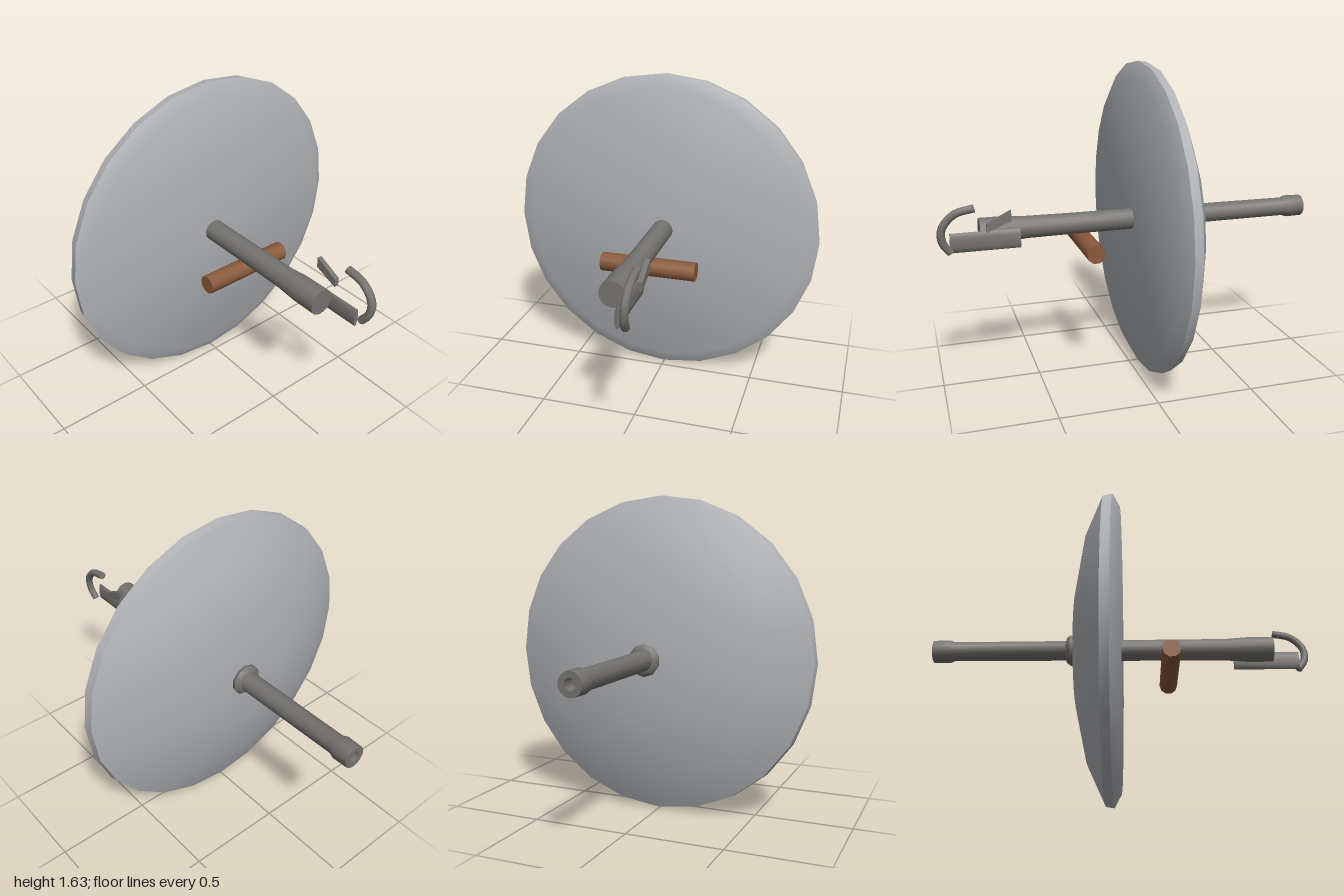
import * as THREE from 'three';
import { toCreasedNormals } from 'three/addons/utils/BufferGeometryUtils.js';

const AXIS_Y = 0.817;

export function createModel() {
  const model = new THREE.Group();
  const shieldGrey = new THREE.MeshStandardMaterial({ color: 0xb0b2b6 });
  const darkGrey = new THREE.MeshStandardMaterial({ color: 0x75736f });
  const brown = new THREE.MeshStandardMaterial({ color: 0x8a5a3c });

  function add(name, geometry, material, crease = 0.7) {
    const mesh = new THREE.Mesh(toCreasedNormals(geometry, crease), material);
    mesh.name = name;
    model.add(mesh);
    return mesh;
  }

  // Turned part along z: profile of [radius, z], listed from back to front
  function turned(name, profile, sides, material, crease) {
    const points = profile.map(([r, z]) => new THREE.Vector2(r, z));
    const geometry = new THREE.LatheGeometry(points, sides).rotateX(Math.PI / 2);
    const mesh = add(name, geometry, material, crease);
    mesh.position.y = AXIS_Y;
    return mesh;
  }

  // Domed back, narrow rim and flat front
  turned('shieldDisc', [
    [0, -0.265], [0.32, -0.245], [0.61, -0.185], [0.808, -0.095],
    [0.815, -0.05], [0.745, -0.013], [0, -0.012],
  ], 24, shieldGrey);

  // Front shaft, flaring to a closed tip
  turned('frontShaft', [
    [0.055, -0.1], [0.055, 0.32], [0.057, 0.54], [0.065, 0.65], [0.065, 0.78], [0, 0.78],
  ], 16, darkGrey);

  // Rear shaft with a hollow, thickened end
  turned('rearShaft', [
    [0, -0.93], [0.028, -0.93], [0.028, -1], [0.058, -1], [0.06, -0.915],
    [0.05, -0.89], [0.052, -0.25],
  ], 14, darkGrey);

  // Collar where the rear shaft meets the dome
  turned('rearCollar', [
    [0.05, -0.303], [0.066, -0.3], [0.083, -0.28], [0.078, -0.262], [0.05, -0.255],
  ], 10, darkGrey);

  // Cross handle under the front shaft
  const handle = add('crossHandle',
    new THREE.CylinderGeometry(0.048, 0.048, 0.49, 10).rotateZ(Math.PI / 2), brown, 0.8);
  handle.position.set(0, 0.715, 0.24);

  // Flat oval bar beside the tip
  const bar = add('sideBar',
    new THREE.CylinderGeometry(1, 1, 0.345, 12).rotateX(Math.PI / 2).scale(0.013, 0.05, 1), darkGrey, 1.1);
  bar.position.set(0.073, 0.785, 0.757);

  // Slanted tab, drawn in the (z, y) plane and extruded across x
  const tabShape = new THREE.Shape([
    [-0.755, 0.84], [-0.635, 0.89], [-0.635, 0.942], [-0.755, 0.882],
  ].map(([x, y]) => new THREE.Vector2(x, y)));
  const tab = add('slantedTab',
    new THREE.ExtrudeGeometry(tabShape, { depth: 0.024, bevelEnabled: false }).rotateY(Math.PI / 2), darkGrey);
  tab.position.x = 0.108;

  // Curved hook with closed ends
  const hookPath = new THREE.CatmullRomCurve3([
    [0.125, 0.966, 0.81], [0.125, 0.943, 0.905], [0.123, 0.875, 0.967],
    [0.118, 0.805, 0.967], [0.111, 0.75, 0.93],
  ].map((p) => new THREE.Vector3(...p)));
  add('hook', new THREE.TubeGeometry(hookPath, 14, 0.02, 8), darkGrey, 1.0);
  for (const t of [0, 1]) {
    const cap = add('hookEnd', new THREE.CircleGeometry(0.02, 8), darkGrey);
    const outward = hookPath.getTangent(t).multiplyScalar(t ? 1 : -1);
    cap.position.copy(hookPath.getPoint(t));
    cap.quaternion.setFromUnitVectors(new THREE.Vector3(0, 0, 1), outward);
  }

  return model;
}
